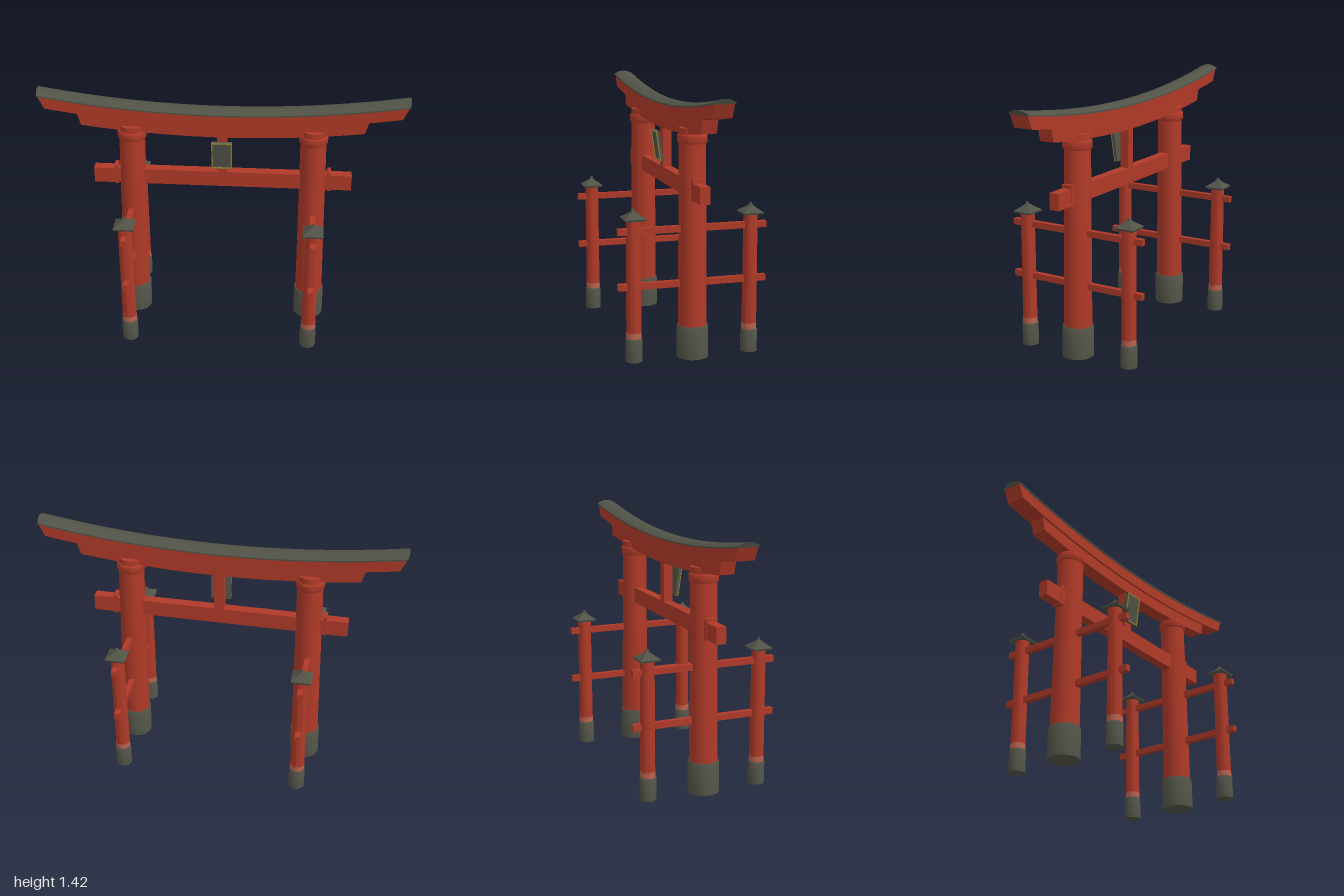
import * as THREE from 'three';
import { toCreasedNormals } from 'three/addons/utils/BufferGeometryUtils.js';

const mat = (name, color) => {
  const m = new THREE.MeshStandardMaterial({ color });
  m.name = name;
  return m;
};

export function createModel() {
  const red = mat('vermilion', 0xb03a28);
  const grey = mat('dark slate', 0x515347);
  const pale = mat('worn vermilion', 0xb8624f);
  const gold = mat('old gold', 0x96803c);
  const model = new THREE.Group();
  model.name = 'gateway';

  const add = (parent, name, geometry, material, x = 0, y = 0, z = 0) => {
    const mesh = new THREE.Mesh(geometry, material);
    mesh.name = name;
    mesh.position.set(x, y, z);
    parent.add(mesh);
    return mesh;
  };
  const box = (w, h, d) => new THREE.BoxGeometry(w, h, d);
  const lathe = (points, sides = 32) => toCreasedNormals(
    new THREE.LatheGeometry(points.map(([r, y]) => new THREE.Vector2(r, y)), sides), 0.6);

  // Sweep upwards to both ends, with ends that lean outwards towards the top
  const sweep = (geometry, lean, topY) => {
    const p = geometry.attributes.position;
    for (let i = 0; i < p.count; i++) {
      const x = p.getX(i), y = p.getY(i);
      const sx = x * (1 - lean * (topY - y));
      p.setXY(i, sx, y + 0.085 * sx * sx);
    }
    geometry.computeVertexNormals();
    return geometry;
  };
  const curvedBeam = (halfLength, bottom, top, depth, lean) => {
    const g = new THREE.BoxGeometry(halfLength * 2, top - bottom, depth, 32, 1, 1);
    g.translate(0, (top + bottom) / 2, 0);
    return sweep(g, lean, top);
  };

  // Lintels
  add(model, 'lowerLintel', curvedBeam(0.785, 1.171, 1.24, 0.082, 0.36), red);
  add(model, 'upperLintel', curvedBeam(0.99, 1.24, 1.306, 0.105, 0.5), red);

  // Rounded roof cap along the upper lintel
  const section = new THREE.Shape();
  section.moveTo(-0.058, 1.304);
  section.lineTo(0.058, 1.304);
  section.lineTo(0.058, 1.312);
  section.quadraticCurveTo(0, 1.346, -0.058, 1.312);
  section.closePath();
  const cap = new THREE.ExtrudeGeometry(section, { depth: 2, steps: 32, bevelEnabled: false, curveSegments: 10 });
  cap.translate(0, 0, -1);
  cap.rotateY(Math.PI / 2);
  add(model, 'roofCap', toCreasedNormals(sweep(cap, 0.4, 1.33), 0.5), grey);

  // Tie beam and centre strut
  add(model, 'tieBeam', box(1.43, 0.09, 0.054), red, 0, 0.902, 0);
  add(model, 'centreStrut', box(0.054, 0.25, 0.05), red, 0, 1.06, 0);

  // Tablet tilted forward, with a thin gilt frame on its face
  const tablet = new THREE.Group();
  tablet.name = 'tablet';
  tablet.position.set(0, 1.066, 0.048);
  tablet.rotation.x = 0.14;
  model.add(tablet);
  add(tablet, 'tabletBoard', box(0.112, 0.17, 0.016), grey);
  for (const s of [-1, 1]) {
    add(tablet, 'frameSide', box(0.007, 0.17, 0.006), gold, s * 0.0525, 0, 0.01);
    add(tablet, 'frameRail', box(0.098, 0.007, 0.006), gold, 0, s * 0.0815, 0.01);
  }

  const pillarGeo = lathe([[0, 0.15], [0.077, 0.15], [0.07, 1.222], [0, 1.222]]);
  const collarGeo = lathe([[0.06, 1.142], [0.075, 1.142], [0.079, 1.148], [0.079, 1.184], [0.075, 1.19], [0.06, 1.19]]);
  const footGeo = lathe([[0, 0], [0.085, 0], [0.085, 0.168], [0.08, 0.176], [0, 0.176]]);
  const postGeo = lathe([[0, 0.1], [0.04, 0.1], [0.038, 0.76], [0, 0.76]], 24);
  const bandGeo = lathe([[0.036, 0.12], [0.0408, 0.12], [0.0406, 0.158], [0.036, 0.158]], 24);
  const postFootGeo = lathe([[0, 0], [0.045, 0], [0.045, 0.121], [0.041, 0.127], [0, 0.127]], 24);
  // Four-sided concave roof; corner radius is half-width times root two
  const roofGeo = lathe([[0, 0.757], [0.073, 0.757], [0.079, 0.768], [0.045, 0.784], [0.02, 0.798], [0.009, 0.808], [0, 0.808]], 4);
  roofGeo.rotateY(Math.PI / 4);

  for (const side of [-1, 1]) {
    const name = side > 0 ? 'left' : 'right';

    // Main pillar leans slightly inwards
    const pillar = new THREE.Group();
    pillar.name = name + 'Pillar';
    pillar.position.x = side * 0.513;
    pillar.rotation.z = side * 0.015;
    model.add(pillar);
    add(pillar, 'pillarShaft', pillarGeo, red);
    add(pillar, 'pillarCollar', collarGeo, red);
    add(pillar, 'pillarFoot', footGeo, grey);

    // Wedge against the outside of the pillar
    add(model, name + 'Wedge', box(0.02, 0.116, 0.058), red, side * 0.59, 0.909, 0);

    // Side rails through the supporting posts
    for (const y of [0.697, 0.404]) add(model, name + 'Rail', box(0.03, 0.034, 0.81), red, side * 0.51, y, 0);

    // Supporting posts in front and behind
    for (const end of [-1, 1]) {
      const post = new THREE.Group();
      post.name = name + (end > 0 ? 'FrontPost' : 'BackPost');
      post.position.set(side * 0.51, 0, end * 0.32);
      model.add(post);
      add(post, 'postShaft', postGeo, red);
      add(post, 'wornBand', bandGeo, pale);
      add(post, 'postFoot', postFootGeo, grey);
      add(post, 'postRoof', roofGeo, grey);
      add(post, 'finial', new THREE.SphereGeometry(0.009, 12, 8), grey, 0, 0.809, 0);
    }
  }
  return model;
}
